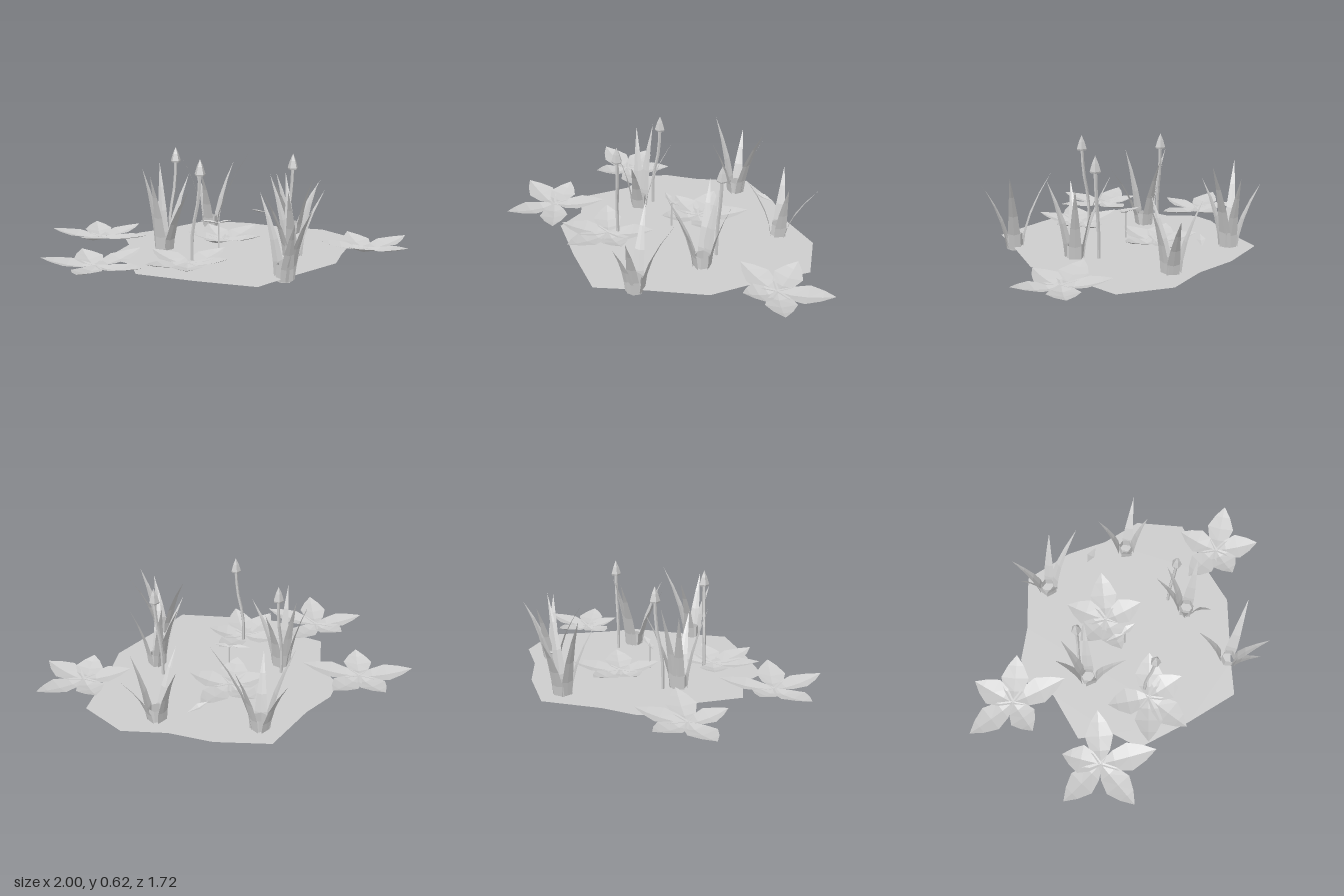
import * as THREE from 'three';

const paleGrey = new THREE.MeshStandardMaterial({ color: 0xcccccc, side: THREE.DoubleSide, flatShading: true });
paleGrey.name = 'paleGrey';

function addMesh(parent, geometry, name) {
  const mesh = new THREE.Mesh(geometry, paleGrey);
  mesh.name = name;
  parent.add(mesh);
  return mesh;
}

// Surface through rows of three points: left edge, midrib, right edge
function ribbon(rows) {
  const index = [];
  for (let r = 0; r < rows.length - 1; r++) {
    for (let c = 0; c < 2; c++) {
      const a = r * 3 + c;
      index.push(a, a + 3, a + 1, a + 1, a + 3, a + 4);
    }
  }
  const g = new THREE.BufferGeometry();
  g.setAttribute('position', new THREE.Float32BufferAttribute(rows.flat(2), 3));
  g.setIndex(index);
  g.computeVertexNormals();
  return g;
}

// Leaf along a direction: sections are [distance, half width, rib height, edge height]
function leafGeometry(cx, cz, angle, sections) {
  const dx = Math.cos(angle), dz = Math.sin(angle);
  return ribbon(sections.map(([d, w, yRib, yEdge]) => [-1, 0, 1].map((s) =>
    [cx + dx * d - dz * w * s, s ? yEdge : yRib, cz + dz * d + dx * w * s])));
}

// Flat water plant with five cupped petals; tips are [x, z]
function waterFlower(cx, cz, tips) {
  const group = new THREE.Group();
  group.name = 'waterFlower';
  for (const [x, z] of tips) {
    const len = Math.hypot(x - cx, z - cz);
    addMesh(group, leafGeometry(cx, cz, Math.atan2(z - cz, x - cx), [
      [0, 0.012, 0.035, 0.038],
      [len * 0.25, 0.06, 0.027, 0.042],
      [len * 0.52, 0.084, 0.037, 0.055],
      [len * 0.78, 0.048, 0.055, 0.066],
      [len, 0, 0.077, 0.077],
    ]), 'petal');
  }
  return group;
}

// Grass clump: folded blades rising from a ring; tips are [x, height, z]
function grassClump(cx, cz, tips) {
  const group = new THREE.Group();
  group.name = 'grassClump';
  for (const [x, h, z] of tips) {
    const reach = Math.hypot(x - cx, z - cz) - 0.042;
    const sections = [[0, 0.034], [0.2, 0.034], [0.45, 0.026], [0.72, 0.014], [1, 0]].map(([t, w]) =>
      [0.042 + reach * Math.pow(t, 1.6), w, h * t, h * t + w * 0.25]);
    addMesh(group, leafGeometry(cx, cz, Math.atan2(z - cz, x - cx), sections), 'blade');
  }
  // Short sheath at the foot
  addMesh(group, new THREE.CylinderGeometry(0.042, 0.046, 0.09, 6, 1, true), 'sheath').position.set(cx, 0.045, cz);
  return group;
}

// Bud on a slightly bent stem
function budStem(bx, bz, tx, tz, top) {
  const group = new THREE.Group();
  group.name = 'budStem';
  const path = new THREE.CatmullRomCurve3([
    new THREE.Vector3(bx, 0, bz),
    new THREE.Vector3(bx + (tx - bx) * 0.1, 0.2, bz + (tz - bz) * 0.1),
    new THREE.Vector3(bx + (tx - bx) * 0.8, 0.38, bz + (tz - bz) * 0.8),
    new THREE.Vector3(tx, top - 0.08, tz),
  ]);
  addMesh(group, new THREE.TubeGeometry(path, 6, 0.01, 5), 'stem');
  const bud = [[0, 0], [0.028, 0.003], [0.031, 0.012], [0.018, 0.055], [0, 0.095]]
    .map(([r, y]) => new THREE.Vector2(r, y));
  addMesh(group, new THREE.LatheGeometry(bud, 5), 'bud').position.set(tx, top - 0.095, tz);
  return group;
}

// Small loose leaf between two points
function smallLeaf(a, b, width) {
  const len = Math.hypot(b[0] - a[0], b[2] - a[2]);
  const mid = (a[1] + b[1]) / 2;
  return leafGeometry(a[0], a[2], Math.atan2(b[2] - a[2], b[0] - a[0]), [
    [0, 0, a[1], a[1]], [len * 0.45, width, mid - 0.006, mid + 0.004], [len, 0, b[1], b[1]],
  ]);
}

export function createModel() {
  const model = new THREE.Group();
  model.name = 'pondPlants';

  // Irregular thin water sheet
  const outline = [[-0.16, -0.61], [0.05, -0.6], [0.22, -0.62], [0.39, -0.64], [0.59, -0.4], [0.7, -0.17],
    [0.86, 0.03], [0.86, 0.33], [0.53, 0.53], [0.36, 0.65], [-0.05, 0.69], [-0.26, 0.72], [-0.46, 0.45],
    [-0.64, 0.17], [-0.57, 0], [-0.62, -0.2], [-0.37, -0.38], [-0.3, -0.56]];
  const sheet = new THREE.ShapeGeometry(new THREE.Shape(outline.map(([x, z]) => new THREE.Vector2(x, -z))));
  sheet.rotateX(-Math.PI / 2).translate(0, 0.02, 0);
  addMesh(model, sheet, 'waterSheet');

  // Flowers lying on the water
  const flowers = [
    [-0.44, -0.62, [[-0.66, -0.84], [-0.34, -0.86], [-0.15, -0.63], [-0.27, -0.32], [-0.61, -0.47]]],
    [-0.76, -0.05, [[-1, -0.24], [-0.73, -0.28], [-0.45, -0.1], [-0.65, 0.27], [-0.98, 0.17]]],
    [-0.33, 0.2, [[-0.61, 0.22], [-0.41, -0.04], [-0.06, 0.18], [-0.19, 0.39], [-0.5, 0.44]]],
    [0.15, -0.11, [[0.21, -0.36], [0.45, -0.17], [0.27, 0.1], [-0.05, 0.01], [-0.02, -0.25]]],
    [0.7, 0.56, [[0.79, 0.32], [1, 0.6], [0.76, 0.82], [0.53, 0.67], [0.48, 0.39]]],
  ];
  for (const f of flowers) model.add(waterFlower(...f));

  // Upright grass
  const clumps = [
    [-0.24, -0.18, [[-0.29, 0.49, -0.34], [-0.18, 0.52, -0.32], [-0.04, 0.45, -0.21], [-0.38, 0.48, -0.1], [-0.22, 0.4, 0.05]]],
    [0.33, -0.5, [[0.17, 0.49, -0.6], [0.34, 0.38, -0.69], [0.51, 0.45, -0.48], [0.51, 0.53, -0.31], [0.18, 0.4, -0.39]]],
    [0.65, -0.03, [[0.65, 0.39, -0.2], [0.86, 0.35, 0], [0.7, 0.39, 0.1], [0.45, 0.38, 0.01]]],
    [0.27, 0.39, [[0.27, 0.47, 0.18], [0.06, 0.41, 0.36], [0.12, 0.43, 0.51], [0.43, 0.44, 0.42], [0.34, 0.48, 0.24]]],
    [-0.04, 0.67, [[-0.03, 0.44, 0.45], [0.19, 0.47, 0.72], [-0.03, 0.41, 0.86], [-0.11, 0.34, 0.82]]],
  ];
  for (const c of clumps) model.add(grassClump(...c));

  // Budding stems
  model.add(budStem(-0.165, -0.24, -0.115, -0.24, 0.615));
  model.add(budStem(-0.28, 0.17, -0.255, 0.215, 0.605));
  model.add(budStem(0.33, 0.27, 0.35, 0.29, 0.595));

  // Small sprout and a loose leaf
  addMesh(model, new THREE.CylinderGeometry(0.005, 0.006, 0.18, 5), 'sproutStem').position.set(0.015, 0.09, 0.02);
  addMesh(model, smallLeaf([0.01, 0.175, 0.0], [0.08, 0.2, 0.08], 0.024), 'sproutLeaf');
  addMesh(model, smallLeaf([0.015, 0.18, 0.02], [-0.05, 0.185, -0.09], 0.02), 'sproutLeaf');
  addMesh(model, smallLeaf([0.48, 0.155, -0.26], [0.6, 0.125, -0.22], 0.025), 'looseLeaf');
  return model;
}
